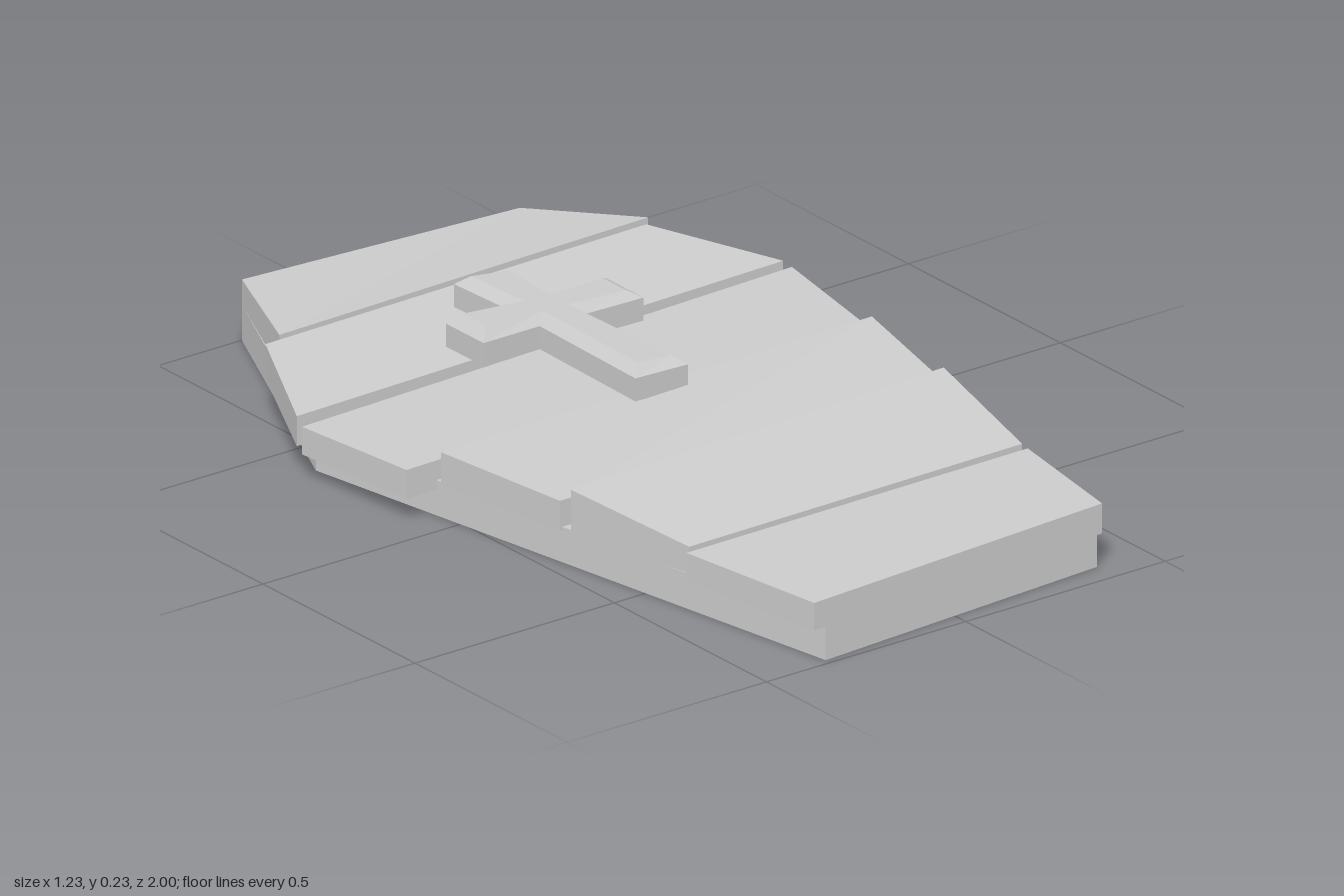
import * as THREE from 'three';

const material = new THREE.MeshStandardMaterial({ color: 0xcccccc, flatShading: true });

// Solid skinned through rings of [x, y, z], bottom to top, each counter-clockwise from above.
function loft(name, rings) {
  const pos = [];
  const tri = (a, b, c) => pos.push(...a, ...b, ...c);
  for (let r = 0; r < rings.length - 1; r++) {
    const lo = rings[r], hi = rings[r + 1];
    lo.forEach((p, i) => {
      const j = (i + 1) % lo.length;
      tri(p, lo[j], hi[j]);
      tri(p, hi[j], hi[i]);
    });
  }
  const cap = (ring, up) => {
    const flat = ring.map(([x, , z]) => new THREE.Vector2(x, -z));
    for (const [a, b, c] of THREE.ShapeUtils.triangulateShape(flat, [])) {
      if (up) tri(ring[a], ring[b], ring[c]);
      else tri(ring[a], ring[c], ring[b]);
    }
  };
  cap(rings[0], false);
  cap(rings[rings.length - 1], true);
  const geometry = new THREE.BufferGeometry();
  geometry.setAttribute('position', new THREE.Float32BufferAttribute(pos, 3));
  geometry.computeVertexNormals();
  const mesh = new THREE.Mesh(geometry, material);
  mesh.name = name;
  return mesh;
}

// Crooked lid planks, front to back; each corner is [x, z, bottom, top].
const planks = [
  [[-0.38, 1.0, 0.08, 0.14], [0.38, 0.95, 0.075, 0.14], [0.43, 0.64, 0.075, 0.14], [-0.43, 0.645, 0.08, 0.14]],
  [[-0.40, 0.615, 0.075, 0.135], [0.435, 0.615, 0.075, 0.14], [0.49, 0.285, 0.075, 0.178], [-0.46, 0.305, 0.075, 0.168]],
  [[-0.465, 0.275, 0.07, 0.135], [0.50, 0.275, 0.075, 0.14], [0.55, -0.03, 0.075, 0.165], [-0.515, -0.05, 0.07, 0.142]],
  [[-0.59, -0.065, 0.055, 0.118], [0.545, -0.05, 0.075, 0.145], [0.605, -0.365, 0.075, 0.143], [-0.62, -0.37, 0.055, 0.115]],
  [[-0.61, -0.40, 0.06, 0.125], [0.61, -0.40, 0.075, 0.143], [0.48, -0.68, 0.075, 0.16], [-0.475, -0.68, 0.075, 0.15]],
  [[-0.425, -0.70, 0.075, 0.15], [0.50, -0.70, 0.075, 0.163], [0.365, -0.945, 0.07, 0.135], [-0.29, -1.0, 0.07, 0.132]],
];

// Cross outline shrunk by d, with slightly flared ends, on a sloping height.
function crossRing(d, height) {
  const s = 0.058 - d, e = 0.066 - d, a = 0.205 - d;
  const back = -0.435 + d, front = -0.325 - d;
  return [
    [-e, -d], [e, -d], [s, front], [a, front - 0.003], [a, back - 0.018], [s, back],
    [e, -0.582 + d], [-e, -0.597 + d], [-s, back], [-a, back - 0.006], [-a, front + 0.008], [-s, front],
  ].map(([x, z]) => [x, height(x), z]);
}

export function createModel() {
  const group = new THREE.Group();
  group.name = 'coffin';

  // Six-sided box
  const outline = [[-0.34, 0.985], [0.375, 0.94], [0.605, -0.385], [0.30, -1], [-0.29, -1], [-0.57, -0.39]];
  group.add(loft('box', [0, 0.077].map((y) => outline.map(([x, z]) => [x, y, z]))));

  // Lid planks
  planks.forEach((corners, i) => {
    group.add(loft(`lidPlank${i + 1}`, [
      corners.map(([x, z, bottom]) => [x, bottom, z]),
      corners.map(([x, z, , top]) => [x, top, z]),
    ]));
  });

  // Bevelled cross resting at a slant
  group.add(loft('cross', [
    crossRing(0, (x) => 0.15 - 0.03 * x),
    crossRing(0, (x) => 0.2 - 0.03 * x),
    crossRing(0.025, (x) => 0.219 - 0.06 * x),
  ]));
  return group;
}
